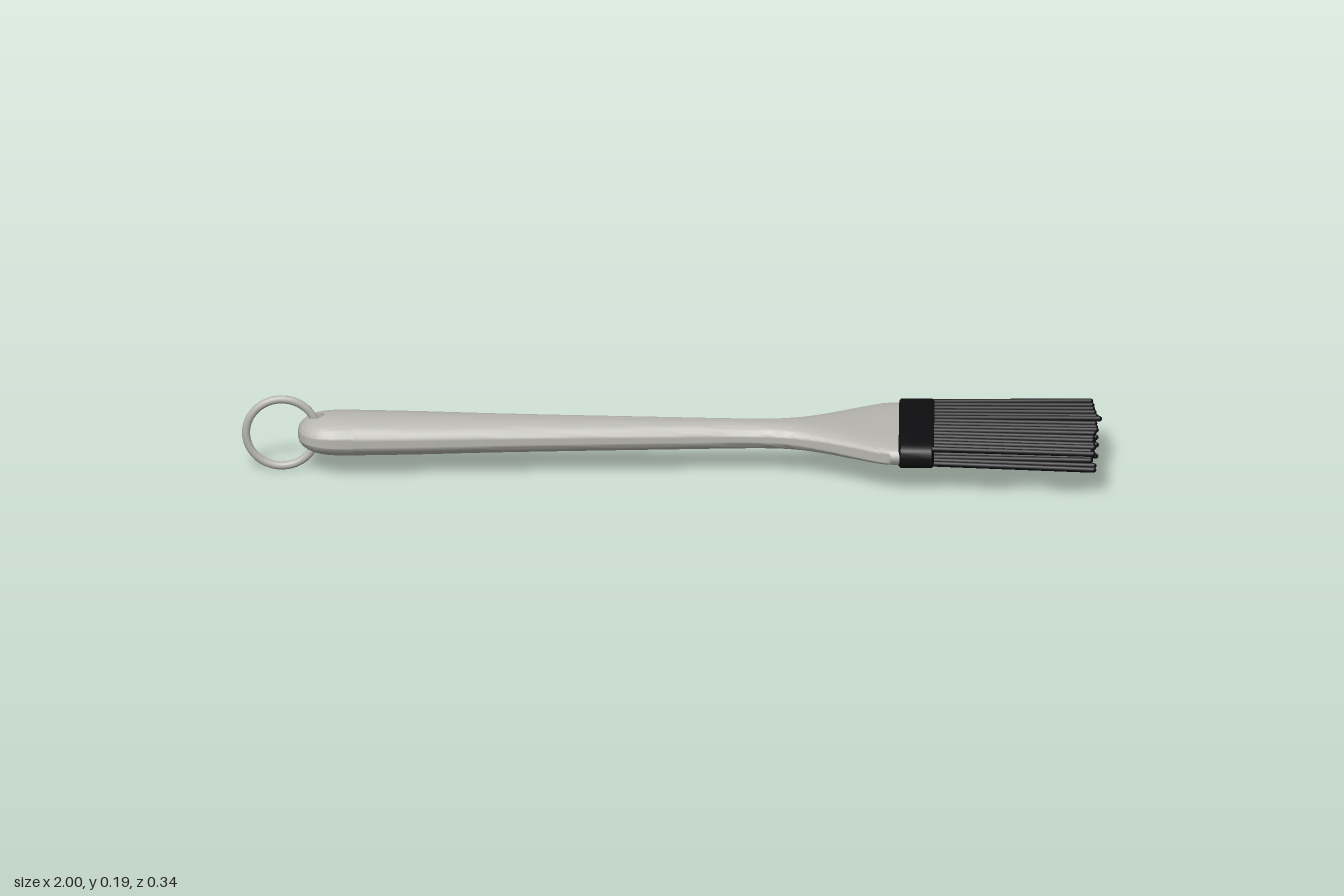
import * as THREE from 'three';
import { toCreasedNormals } from 'three/addons/utils/BufferGeometryUtils.js';

const AXIS_Y = 0.0935;      // height of the handle's centre line
const JOIN = -0.74;         // where the rounded butt meets the shaft
const BUTT = { x: -0.77, len: 0.1, w: 0.078, h: 0.048, p: 2.4 };
const HOLE = { x: -0.825, r: 0.016 };
const SEGS = 40;

// Surface from rows of points; columns wrap around when closed
function grid(rows, crease) {
  const n = rows[0].length, index = [];
  for (let k = 0; k < rows.length - 1; k++) {
    for (let j = 0; j < n; j++) {
      const j2 = (j + 1) % n;
      const a = k * n + j, b = a + n, c = k * n + j2, d = c + n;
      index.push(a, b, c, b, d, c);
    }
  }
  const geo = new THREE.BufferGeometry().setFromPoints(rows.flat());
  geo.setIndex(index);
  return toCreasedNormals(geo, crease);
}

// Rounded cross-section at x, half width w, half height h, squareness n
function section(x, w, h, n = 2) {
  const pw = (v) => Math.sign(v) * Math.abs(v) ** (2 / n);
  return Array.from({ length: SEGS }, (_, j) => {
    const a = (j / SEGS) * Math.PI * 2;
    return new THREE.Vector3(x, h * pw(Math.sin(a)), w * pw(Math.cos(a)));
  });
}

// Shaft: slim waist flaring into a flat paddle
function shaftGeometry() {
  const profile = new THREE.CatmullRomCurve3([
    [JOIN, 0.048, 0.078], [-0.6, 0.046, 0.073], [-0.4, 0.042, 0.062], [0, 0.036, 0.046],
    [0.2, 0.033, 0.042], [0.28, 0.032, 0.053], [0.35, 0.031, 0.08], [0.42, 0.03, 0.117],
    [0.48, 0.029, 0.149], [0.5, 0.029, 0.155], [0.535, 0.029, 0.157],
  ].map((p) => new THREE.Vector3(...p)));
  const rows = profile.getPoints(60).map((p) =>
    section(p.x, p.z, p.y, 2 + 1.5 * THREE.MathUtils.smoothstep(p.x, 0.2, 0.53)));
  return grid(rows, 1);
}

// Butt: domed end with a vertical hole, built radially around the hole
function buttGeometry() {
  const fade = (x) => {
    const u = Math.min(1, Math.max(0, (BUTT.x - x) / BUTT.len));
    return Math.max(0, 1 - u ** BUTT.p) ** (1 / BUTT.p);
  };
  const height = (x, z) => {
    const f = fade(x);
    return f < 1e-6 ? 0 : BUTT.h * f * Math.sqrt(Math.max(0, 1 - (z / (BUTT.w * f)) ** 2));
  };
  const rim = [[JOIN, BUTT.w]];
  for (let i = 0; i <= 32; i++) {
    const t = Math.PI / 2 - (i / 32) * Math.PI, e = 2 / BUTT.p;
    rim.push([BUTT.x - BUTT.len * Math.abs(Math.cos(t)) ** e,
      BUTT.w * Math.sign(t) * Math.abs(Math.sin(t)) ** e]);
  }
  rim.push([JOIN, -BUTT.w]);
  for (let j = SEGS / 2 - 1; j > 0; j--) rim.push([JOIN, BUTT.w * Math.cos((j / SEGS) * Math.PI * 2)]);

  const ring = (s, side) => rim.map(([x, z]) => {
    const a = Math.atan2(z, x - HOLE.x);
    const px = THREE.MathUtils.lerp(HOLE.x + HOLE.r * Math.cos(a), x, s);
    const pz = THREE.MathUtils.lerp(HOLE.r * Math.sin(a), z, s);
    const onEdge = s === 1 && x < JOIN;
    return new THREE.Vector3(px, onEdge ? 0 : side * height(px, pz), pz);
  });
  const steps = 14, rows = [];
  const spread = (k) => (k === steps ? 1 : Math.sin((k / steps) * Math.PI / 2));
  for (let k = steps; k >= 0; k--) rows.push(ring(spread(k), 1));
  for (let k = 0; k <= steps; k++) rows.push(ring(spread(k), -1));
  return grid(rows, 0.9);
}

export function createModel() {
  const model = new THREE.Group();
  model.name = 'bastingBrush';
  const grey = new THREE.MeshStandardMaterial({ color: 0xb6b5af });
  grey.name = 'satin grey';
  const black = new THREE.MeshStandardMaterial({ color: 0x0e0e10 });
  black.name = 'black silicone';

  const add = (parent, name, geo, mat, x = 0, y = 0, z = 0) => {
    const mesh = new THREE.Mesh(geo, mat);
    mesh.name = name;
    mesh.position.set(x, y, z);
    parent.add(mesh);
    return mesh;
  };

  // Handle and hanging ring
  const handle = new THREE.Group();
  handle.name = 'handle';
  handle.position.y = AXIS_Y;
  model.add(handle);
  add(handle, 'handleShaft', shaftGeometry(), grey);
  add(handle, 'handleButt', buttGeometry(), grey);
  add(model, 'hangingRing', new THREE.TorusGeometry(0.083, 0.0095, 14, 64), grey, -0.9075, AXIS_Y, 0);

  // Collar holding the bristles
  const collar = [[0.528, 0], [0.528, 0.94], [0.533, 1], [0.605, 1], [0.61, 0.94], [0.61, 0]]
    .map(([x, s]) => section(x, 0.163 * s, 0.038 * s, 3.6));
  add(model, 'collar', grid(collar, 0.6), black, 0, AXIS_Y + 0.001, 0);

  // Two rows of slightly fanned bristles with uneven tips
  let seed = 7;
  const rand = () => (seed = (seed * 16807) % 2147483647) / 2147483647;
  const bristles = new THREE.Group();
  bristles.name = 'bristles';
  model.add(bristles);
  const count = 16, up = new THREE.Vector3(0, 1, 0);
  for (const [row, y] of [[0, 0.114], [1, 0.078]]) {
    for (let i = 0; i < count; i++) {
      const f = (i / (count - 1)) * 2 - 1;
      const from = new THREE.Vector3(0.6, y, f * 0.146);
      const to = new THREE.Vector3(0.972 + rand() * 0.015, y - 0.006 + (rand() - 0.5) * 0.004,
        f * 0.161 + (rand() - 0.5) * 0.008);
      if (i === 5 && row === 0) to.x = 0.993;
      const dir = to.clone().sub(from);
      const geo = new THREE.CapsuleGeometry(0.007, dir.length(), 3, 8);
      const mid = from.clone().add(to).multiplyScalar(0.5);
      add(bristles, 'bristle', geo, black, mid.x, mid.y, mid.z)
        .quaternion.setFromUnitVectors(up, dir.normalize());
    }
  }
  return model;
}
